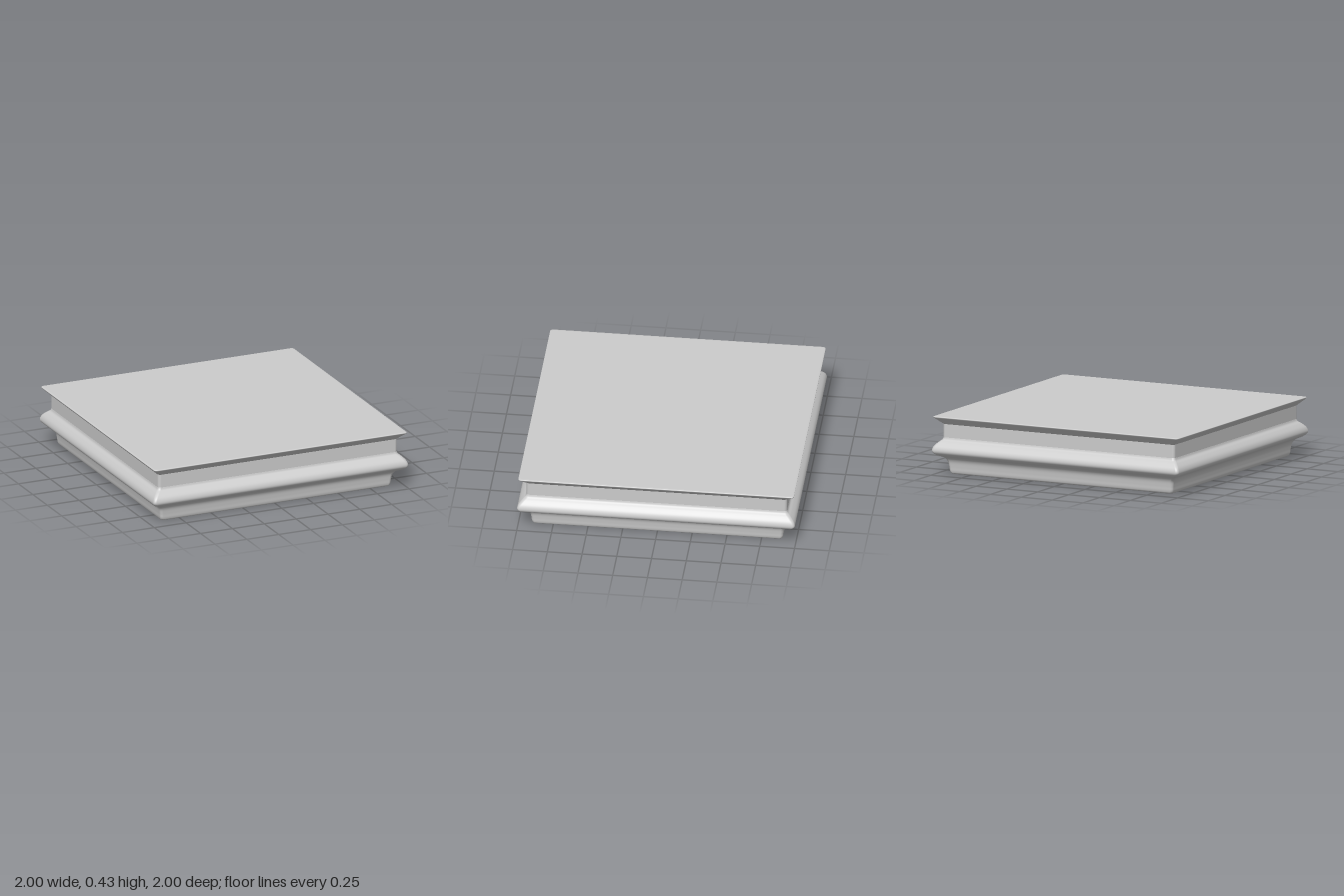
import * as THREE from 'three';

const material = new THREE.MeshStandardMaterial({ color: 0xcccccc });
const CORNER_STEPS = 6;

// Square outline with softly rounded corners, at height y
function squareRing(half, y, radius = 0.022) {
  const r = Math.min(radius, half), ring = [];
  for (let c = 0; c < 4; c++) {
    const mid = Math.PI / 4 + c * Math.PI / 2;
    const cx = Math.sign(Math.cos(mid)) * (half - r);
    const cz = Math.sign(Math.sin(mid)) * (half - r);
    for (let s = 0; s <= CORNER_STEPS; s++) {
      const a = (c + s / CORNER_STEPS) * Math.PI / 2;
      ring.push(cx + r * Math.cos(a), y, cz + r * Math.sin(a));
    }
  }
  return ring;
}

// Sweep a profile of [half width, height] points around the square
function sweptPart(name, profile) {
  const n = 4 * (CORNER_STEPS + 1), positions = [], index = [];
  profile.forEach(([half, y]) => positions.push(...squareRing(half, y)));
  for (let i = 0; i < profile.length - 1; i++) {
    for (let j = 0; j < n; j++) {
      const a = i * n + j, b = i * n + (j + 1) % n;
      index.push(a, a + n, b, b, a + n, b + n);
    }
  }
  const geometry = new THREE.BufferGeometry();
  geometry.setAttribute('position', new THREE.Float32BufferAttribute(positions, 3));
  geometry.setIndex(index);
  geometry.computeVertexNormals();
  const mesh = new THREE.Mesh(geometry, material);
  mesh.name = name;
  return mesh;
}

// Smooth profile through a few control points
function smooth(points, steps) {
  const curve = new THREE.SplineCurve(points.map(([x, y]) => new THREE.Vector2(x, y)));
  return curve.getPoints(steps).map(p => [p.x, p.y]);
}

export function createModel() {
  const group = new THREE.Group();
  group.name = 'squarePlinth';

  // Underside
  group.add(sweptPart('underside', [[0, 0.003], [0.87, 0.003]]));

  // Rounded foot flowing into the bulging moulding
  group.add(sweptPart('footAndBulge', smooth([
    [0.87, 0.003], [0.895, 0.01], [0.904, 0.028], [0.908, 0.06], [0.916, 0.1],
    [0.936, 0.128], [0.972, 0.146], [0.994, 0.164], [1, 0.185],
    [0.99, 0.213], [0.966, 0.24], [0.945, 0.258], [0.938, 0.275],
  ], 60)));

  // Straight recessed neck
  group.add(sweptPart('neck', [[0.938, 0.275], [0.938, 0.372]]));

  // Flared rim with a thin lip
  group.add(sweptPart('flaredRim', [[0.938, 0.372], [0.985, 0.415]]));
  group.add(sweptPart('rimLip', smooth([
    [0.985, 0.415], [0.992, 0.424], [0.99, 0.429], [0.98, 0.431],
  ], 9)));

  // Flat top
  group.add(sweptPart('topSlab', [[0.98, 0.431], [0, 0.431]]));

  return group;
}
